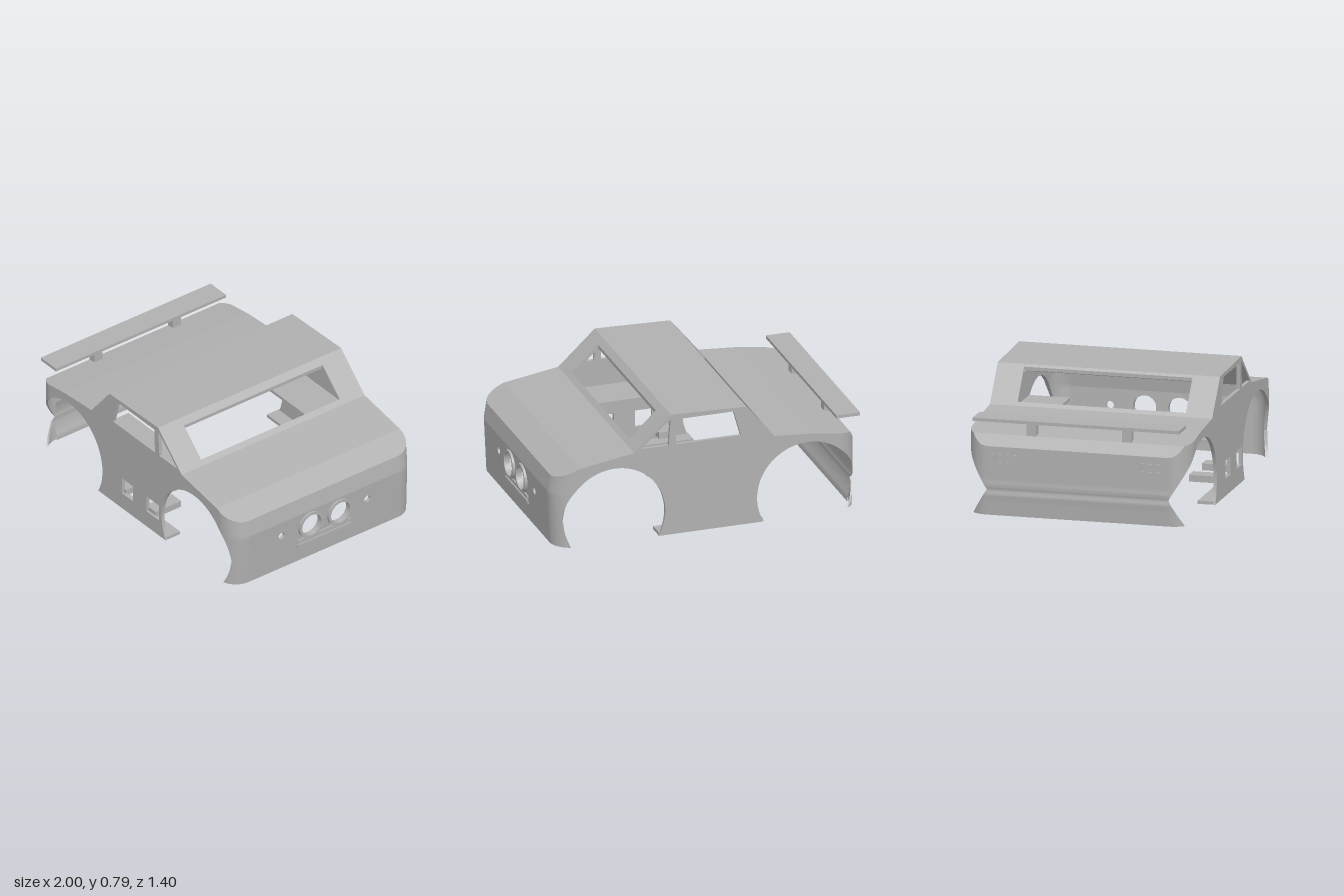
import * as THREE from 'three';
import { toCreasedNormals } from 'three/addons/utils/BufferGeometryUtils.js';

const HALF = 0.7, END = 0.97, R = 0.13, CX = END - R, T = 0.022;
const ARCH = { r: 0.325, y: 0.16, front: 0.595, rear: -0.645 };
const ROOF = [[-0.97, 0.43], [-0.93, 0.5], [-0.7, 0.535], [-0.43, 0.555], [-0.25, 0.775],
  [0.235, 0.79], [0.47, 0.57], [0.82, 0.515], [0.97, 0.45]];
// End-wall offsets from the nominal plan, as [y, dx]
const NOSE = [[0, 0], [0.345, 0.017], [0.45, 0]];
const TAIL = [[0, 0.006], [0.09, 0], [0.13, -0.005], [0.16, 0.001], [0.185, -0.005], [0.22, -0.001], [0.43, 0]];

function lerpTable(table, t) {
  if (t <= table[0][0]) return table[0][1];
  for (let i = 1; i < table.length; i++) {
    const [a, va] = table[i - 1], [b, vb] = table[i];
    if (t <= b) return va + (vb - va) * (t - a) / (b - a);
  }
  return table[table.length - 1][1];
}
const roofY = x => lerpTable(ROOF, x);
const halfWidth = x => HALF - R + Math.sqrt(Math.max(0, R * R - Math.max(0, Math.abs(x) - CX) ** 2));
const archHalf = (x, c) => Math.sqrt(Math.max(0, ARCH.r ** 2 - (x - c) ** 2));

const poly = pts => new THREE.Shape(pts.map(p => new THREE.Vector2(p[0], p[1])));
const rect = (x0, y0, x1, y1) => poly([[x0, y0], [x1, y0], [x1, y1], [x0, y1]]);
const disc = (x, y, r) => new THREE.Shape().absarc(x, y, r, 0, Math.PI * 2, false);

// Extrudes a shape and moves each vertex by a rule (u, v, depth) -> [x, y, z]
function plate(shape, holes, depth, map) {
  shape.holes.push(...holes);
  const g = new THREE.ExtrudeGeometry(shape, { depth, bevelEnabled: false, curveSegments: 32 });
  const p = g.attributes.position;
  for (let i = 0; i < p.count; i++) p.setXYZ(i, ...map(p.getX(i), p.getY(i), p.getZ(i)));
  return toCreasedNormals(g, 0.5);
}

// Closed curved slab between an outer and an inner grid
function slab(outer, inner, nu, nv) {
  const pos = [];
  const quad = (a, b, c, d) => pos.push(...a, ...b, ...c, ...a, ...c, ...d);
  for (let i = 0; i < nu; i++) {
    const u = i / nu, u2 = (i + 1) / nu;
    for (let j = 0; j < nv; j++) {
      const v = j / nv, v2 = (j + 1) / nv;
      quad(outer(u, v), outer(u2, v), outer(u2, v2), outer(u, v2));
      quad(inner(u, v2), inner(u2, v2), inner(u2, v), inner(u, v));
    }
    quad(outer(u, 0), inner(u, 0), inner(u2, 0), outer(u2, 0));
    quad(outer(u, 1), outer(u2, 1), inner(u2, 1), inner(u, 1));
  }
  const g = new THREE.BufferGeometry();
  g.setAttribute('position', new THREE.Float32BufferAttribute(pos, 3));
  return toCreasedNormals(g, 0.5);
}

export function createModel() {
  const car = new THREE.Group();
  car.name = 'carBody';
  const grey = new THREE.MeshStandardMaterial({ color: 0xb0b0b0, side: THREE.DoubleSide });
  grey.name = 'bodyGrey';
  const add = (name, geo) => {
    const m = new THREE.Mesh(geo, grey);
    m.name = name;
    car.add(m);
    return m;
  };
  const box = (name, x0, x1, y0, y1, z0, z1) =>
    add(name, new THREE.BoxGeometry(x1 - x0, y1 - y0, z1 - z0))
      .position.set((x0 + x1) / 2, (y0 + y1) / 2, (z0 + z1) / 2);

  // Side panels with wheel arches and windows
  const arc = (c, x0, x1, upperOnly) => {
    const ang = (x, up) => {
      const a = Math.acos((x - c) / ARCH.r);
      return up ? a : -a;
    };
    let a0 = ang(x0, upperOnly !== 'start'), a1 = ang(x1, upperOnly !== 'end');
    if (upperOnly === 'start') a0 += Math.PI * 2;
    const pts = [];
    for (let i = 0; i <= 40; i++) {
      const a = a0 + (a1 - a0) * i / 40;
      pts.push([c + ARCH.r * Math.cos(a), ARCH.y + ARCH.r * Math.sin(a)]);
    }
    return pts;
  };
  const foot = Math.sqrt(ARCH.r ** 2 - ARCH.y ** 2);
  const sideOutline = () => poly([
    ...arc(ARCH.front, ARCH.front - foot, CX, 'start'),
    [CX, roofY(CX)],
    ...ROOF.filter(p => Math.abs(p[0]) < CX).reverse(),
    [-CX, roofY(-CX)],
    ...arc(ARCH.rear, -CX, ARCH.rear + foot, 'end'),
  ]);
  for (const s of [1, -1]) {
    const holes = [
      poly([[-0.215, 0.59], [0.203, 0.59], [0.198, 0.755], [-0.17, 0.755]]),
      poly([[0.248, 0.59], [0.43, 0.59], [0.236, 0.76]]),
    ];
    // Square service openings on one side only
    if (s > 0) holes.push(rect(-0.125, 0.11, -0.015, 0.22), rect(0.12, 0.11, 0.245, 0.22));
    add('sidePanel', plate(sideOutline(), holes, T, (x, y, d) => [x, y, s * (HALF - d)]));
  }

  // Roof, screens, bonnet and rear deck, one plate per slope
  const names = ['tailEdge', 'deckRear', 'deckFront', 'rearScreenFrame', 'roof', 'windscreenFrame', 'bonnet', 'noseEdge'];
  const screens = { 3: [-0.412, -0.262], 5: [0.272, 0.442] };
  names.forEach((name, k) => {
    const a = ROOF[k][0], b = ROOF[k + 1][0], edge = [];
    for (let i = 0; i <= 16; i++) {
      const x = a + (b - a) * i / 16;
      edge.push([x, halfWidth(x)]);
    }
    const outline = poly([...edge, ...edge.slice().reverse().map(p => [p[0], -p[1]])]);
    const hole = screens[k] ? [rect(screens[k][0], -0.53, screens[k][1], 0.53)] : [];
    add(name, plate(outline, hole, T, (x, z, d) => [x, roofY(x) - d, z]));
  });

  // Rounded corners, cut above and below by the wheel arches
  for (const end of [1, -1]) for (const side of [1, -1]) {
    const c = end > 0 ? ARCH.front : ARCH.rear, table = end > 0 ? NOSE : TAIL;
    const footSin = (Math.abs(c) + foot - CX) / R;
    for (const upper of [true, false]) {
      const a0 = upper ? 0 : Math.asin(footSin);
      const point = inset => (u, v) => {
        const a = a0 + (Math.PI / 2 - a0) * u;
        const x = end * (CX + R * Math.sin(a)), h = archHalf(x, c);
        const lo = upper ? ARCH.y + h : 0;
        const hi = upper ? roofY(x) : Math.max(0, ARCH.y - h);
        const y = lo + (hi - lo) * v, r = R - inset;
        return [end * (CX + r * Math.sin(a)) + lerpTable(table, y) * Math.sin(a), y,
          side * (HALF - R + r * Math.cos(a))];
      };
      add(end > 0 ? 'frontCorner' : 'rearCorner', slab(point(0), point(end > 0 ? T : 0.012), 20, 16));
    }
  }

  // Nose with lamp openings
  const w = HALF - R;
  const noseMap = (z, y, d) => [END + lerpTable(NOSE, y) - d, y, z];
  const lampY = 0.243;
  add('nose', plate(rect(-w, 0, w, 0.345), [
    ...[-0.11, 0.11].map(z => disc(z, lampY, 0.073)),
    ...[-0.328, 0.328].map(z => disc(z, lampY, 0.024)),
  ], T, noseMap));
  add('noseTop', plate(rect(-w, 0.345, w, 0.45), [], T, noseMap));
  for (const z of [-0.11, 0.11]) {
    const ring = disc(z, lampY, 0.09);
    add('headlampRing', plate(ring, [disc(z, lampY, 0.073)], 0.03, (u, v, d) => [0.97 + d, v, u]));
  }
  box('grilleBar', 0.97, 0.987, 0.14, 0.16, -0.205, 0.205);
  box('grilleBar', 0.97, 0.985, 0.105, 0.125, -0.205, 0.205);

  // Ribbed tail wall, hollowed inside by the wheel clearance
  const tailX = y => -END + lerpTable(TAIL, y);
  const tailInner = y => {
    const h = Math.sqrt(ARCH.r ** 2 - Math.min(ARCH.r, Math.abs(y - ARCH.y)) ** 2);
    return Math.max(tailX(y) + 0.004, Math.min(tailX(y) + T, ARCH.rear - h));
  };
  add('tail', slab((u, v) => [tailX(v * 0.43), v * 0.43, -w + 2 * w * u],
    (u, v) => [tailInner(v * 0.43), v * 0.43, -w + 2 * w * u], 1, 43));
  for (const s of [-1, 1]) {
    const z = s * 0.46;
    add('tailLampFrame', plate(rect(z - 0.075, 0.325, z + 0.075, 0.385),
      [rect(z - 0.062, 0.335, z + 0.062, 0.375)], 0.006, (u, v, d) => [-0.97 - d, v, u]));
  }

  // Rear wing on two posts
  box('wing', -1, -0.848, 0.59, 0.61, -0.65, 0.65);
  for (const z of [-0.3, 0.3]) box('wingPost', -0.93, -0.88, 0.49, 0.592, z - 0.03, z + 0.03);

  // Inner shelves and sill flanges
  for (const s of [-1, 1]) {
    const span = (a, b) => [Math.min(s * a, s * b), Math.max(s * a, s * b)];
    box('innerShelf', -0.425, 0.385, 0.4, 0.42, ...span(0.42, 0.69));
    box('sillFlange', -0.36, 0.31, 0, 0.02, ...span(0.59, 0.69));
  }

  // Small brackets behind the service openings
  for (const [x0, x1] of [[-0.2, -0.105], [0.095, 0.19]])
    box('bracket', x0, x1, 0.095, 0.137, 0.49, 0.685);
  return car;
}
